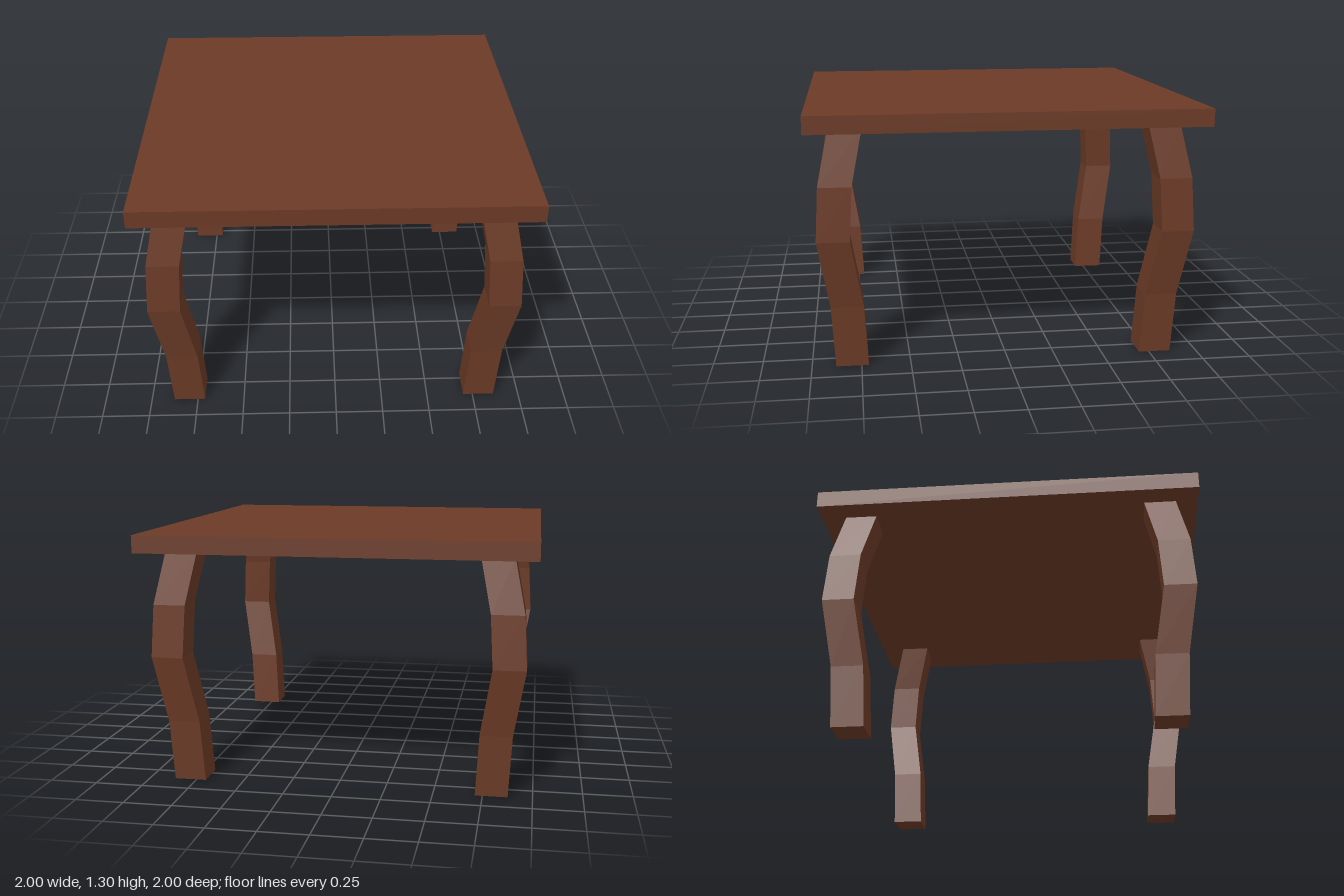
import * as THREE from 'three';

// Leg bend: [height, distance of the leg centre from the table's middle along x and z]
const BEND = [[0, 0.788], [0.32, 0.806], [0.67, 0.865], [0.94, 0.85], [1.21, 0.795]];
const LEG_WIDTH = 0.165;

// A square post whose rows of vertices follow the bend outward along the diagonal
function legGeometry(sx, sz) {
  const rows = BEND.length - 1;
  const geo = new THREE.BoxGeometry(LEG_WIDTH, 1, LEG_WIDTH, 1, rows, 1);
  const pos = geo.attributes.position;
  for (let i = 0; i < pos.count; i++) {
    const [y, out] = BEND[Math.round((pos.getY(i) + 0.5) * rows)];
    pos.setXYZ(i, pos.getX(i) + sx * out, y, pos.getZ(i) + sz * out);
  }
  geo.computeVertexNormals();
  return geo;
}

export function createModel() {
  const group = new THREE.Group();
  group.name = 'table';
  const wood = new THREE.MeshStandardMaterial({ color: 0x6b3a26, flatShading: true });

  // Square slab top
  const top = new THREE.Mesh(new THREE.BoxGeometry(2, 0.09, 2), wood);
  top.name = 'tableTop';
  top.position.y = 1.255;
  group.add(top);

  // Four bowed legs, set very slightly off centre
  const legs = new THREE.Group();
  legs.name = 'legs';
  legs.position.set(-0.006, 0, 0.008);
  for (const sx of [-1, 1]) {
    for (const sz of [-1, 1]) {
      const leg = new THREE.Mesh(legGeometry(sx, sz), wood);
      leg.name = (sz > 0 ? 'front' : 'back') + (sx > 0 ? 'Left' : 'Right') + 'Leg';
      legs.add(leg);
    }
  }
  group.add(legs);
  return group;
}
